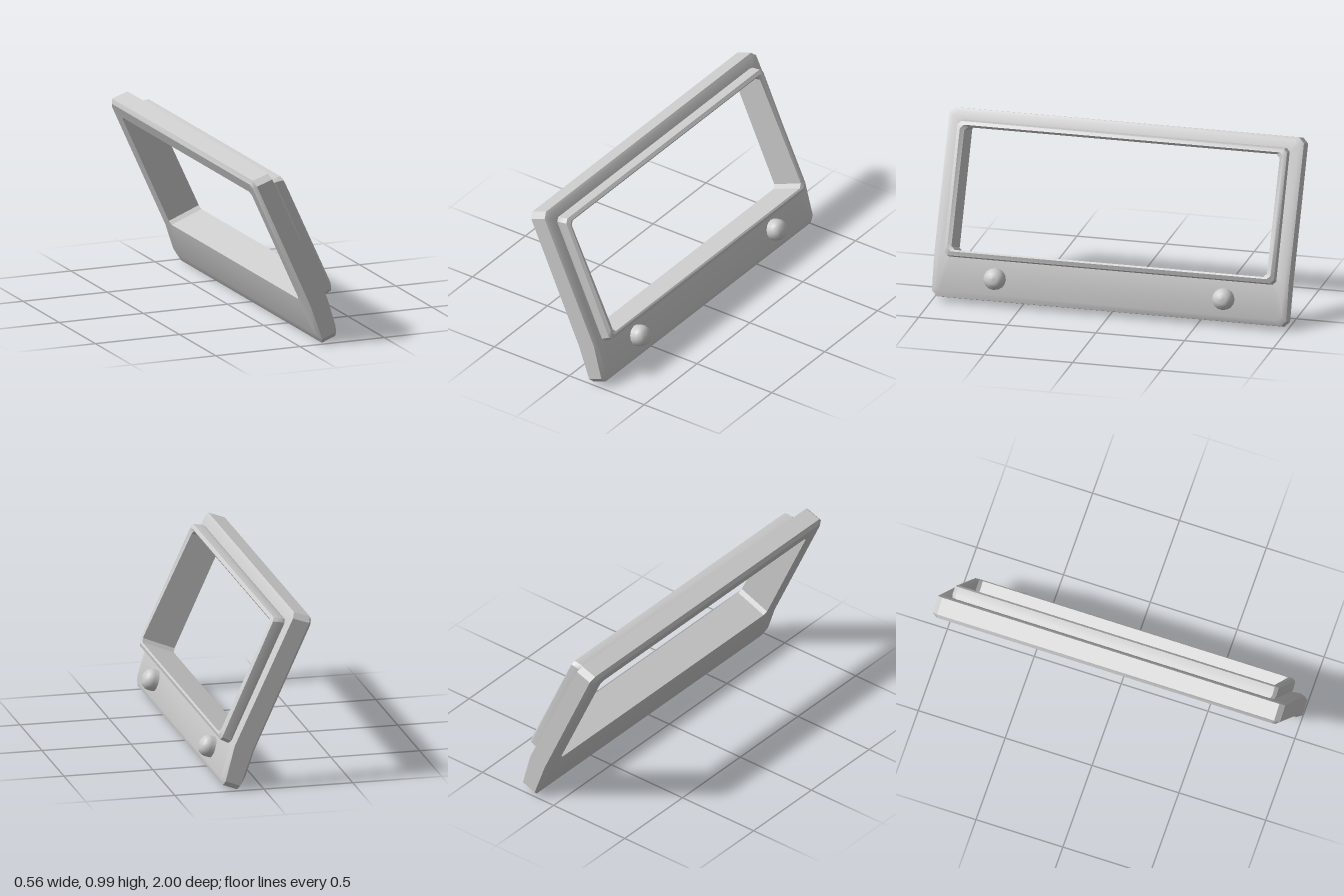
import * as THREE from 'three';
import { toCreasedNormals } from 'three/addons/utils/BufferGeometryUtils.js';

// One rectangular loop around the opening: bottom, knee and top points (x, y),
// half length in z and corner chamfer.
function ring([bottom, knee, top, half, cut]) {
  const B = new THREE.Vector2(...bottom);
  const K = new THREE.Vector2(...knee);
  const T = new THREE.Vector2(...top);
  const step = (from, to) => from.clone().add(to.clone().sub(from).setLength(cut));
  const side = [
    [B, half - cut], [step(B, K), half], [K, half], [step(T, K), half], [T, half - cut],
  ];
  const left = side.map(([p, z]) => [p.x, p.y, z]);
  const right = left.map(([x, y, z]) => [x, y, -z]).reverse();
  return [...left, ...right];
}

// Skin consecutive loops into a closed, tunnel-like frame.
function loftFrame(sections) {
  const rings = sections.map(ring);
  const n = rings[0].length;
  const index = [];
  for (let r = 0; r < rings.length; r++) {
    const s = (r + 1) % rings.length;
    for (let i = 0; i < n; i++) {
      const j = (i + 1) % n;
      const a = r * n + i, b = s * n + i, c = s * n + j, d = r * n + j;
      index.push(a, b, c, a, c, d);
    }
  }
  const geometry = new THREE.BufferGeometry();
  geometry.setAttribute('position', new THREE.Float32BufferAttribute(rings.flat(2), 3));
  geometry.setIndex(index);
  return toCreasedNormals(geometry, 0.6);
}

export function createModel() {
  const group = new THREE.Group();
  group.name = 'tiltedFrame';
  const material = new THREE.MeshStandardMaterial({ color: 0xcccccc });

  // Leaning surround with its raised inner lip, from the back opening round to the front
  const frame = new THREE.Mesh(loftFrame([
    // back face and opening edge
    [[0.043, 0.235], [0.013, 0.30], [-0.245, 0.867], 0.89, 0.02],
    [[0.104, 0.05], [0.05, 0.213], [-0.277, 0.93], 0.975, 0.025],
    // outer edge
    [[0.143, 0.0], [0.064, 0.22], [-0.267, 0.955], 1, 0.03],
    [[0.222, 0.03], [0.163, 0.256], [-0.177, 0.987], 1, 0.03],
    // front face
    [[0.23, 0.065], [0.173, 0.25], [-0.162, 0.972], 0.975, 0.025],
    [[0.168, 0.253], [0.15, 0.295], [-0.142, 0.93], 0.925, 0.02],
    // raised lip
    [[0.178, 0.25], [0.16, 0.295], [-0.125, 0.94], 0.932, 0.02],
    [[0.223, 0.273], [0.205, 0.315], [-0.077, 0.947], 0.93, 0.02],
    [[0.228, 0.298], [0.212, 0.335], [-0.062, 0.932], 0.912, 0.02],
    [[0.22, 0.306], [0.203, 0.345], [-0.07, 0.917], 0.89, 0.02],
  ]), material);
  frame.name = 'frame';
  group.add(frame);

  // Pair of rounded knobs on the lower rail
  const profile = [
    [0.058, -0.02], [0.06, 0.04], [0.057, 0.058], [0.046, 0.076], [0.028, 0.087], [0, 0.09],
  ].map(([r, h]) => new THREE.Vector2(r, h));
  const knobGeometry = new THREE.LatheGeometry(profile, 16);
  const axis = new THREE.Vector3(0.94, 0.34, 0).normalize();
  for (const side of [1, -1]) {
    const knob = new THREE.Mesh(knobGeometry, material);
    knob.name = side > 0 ? 'leftKnob' : 'rightKnob';
    knob.position.set(0.188, 0.146, side * 0.645);
    knob.quaternion.setFromUnitVectors(new THREE.Vector3(0, 1, 0), axis);
    group.add(knob);
  }
  return group;
}
